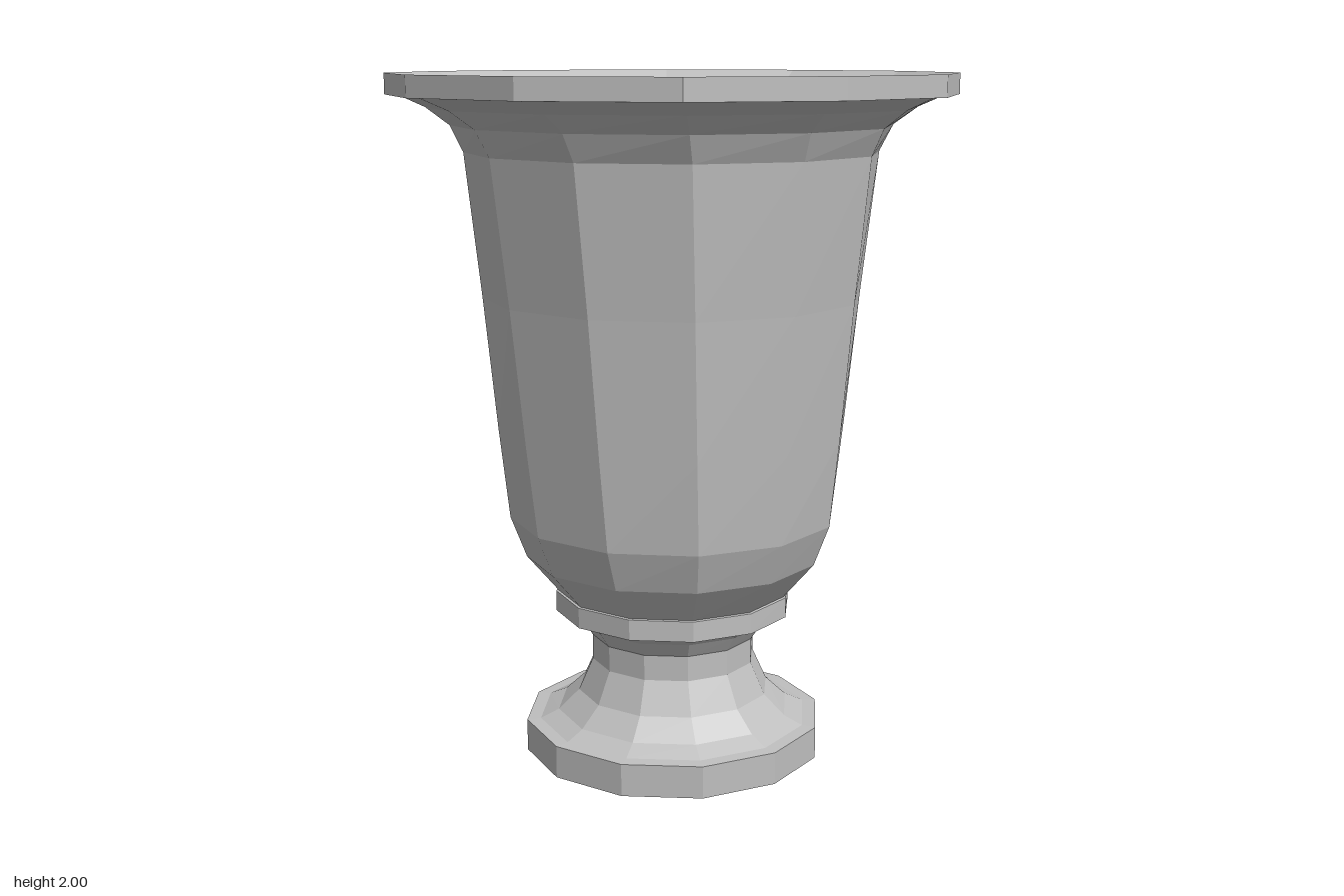
import * as THREE from 'three';

const SIDES = 12;
const stone = new THREE.MeshStandardMaterial({ color: 0xbfbfbf, flatShading: true });
stone.name = 'stone';

// Facets lofted through rings of [radius, height, turn in degrees]
function loft(name, rings) {
  const positions = [];
  const point = ([r, y, turn], j) => {
    const a = THREE.MathUtils.degToRad(turn + (j * 360) / SIDES);
    return [r * Math.sin(a), y, r * Math.cos(a)];
  };
  for (let i = 0; i < rings.length - 1; i++) {
    const low = rings[i], high = rings[i + 1];
    for (let j = 0; j < SIDES; j++) {
      const a = point(low, j), b = point(low, j + 1);
      const c = point(high, j + 1), d = point(high, j);
      if (low[0] > 0) positions.push(...a, ...b, ...c);
      if (high[0] > 0) positions.push(...a, ...c, ...d);
      // A ring of zero radius needs only one triangle per side
    }
  }
  const geometry = new THREE.BufferGeometry();
  geometry.setAttribute('position', new THREE.Float32BufferAttribute(positions, 3));
  geometry.computeVertexNormals();
  const mesh = new THREE.Mesh(geometry, stone);
  mesh.name = name;
  return mesh;
}

export function createModel() {
  const urn = new THREE.Group();
  urn.name = 'urn';

  // Plinth with a closed underside
  urn.add(loft('foot', [
    [0, 0, 19.6], [0.446, 0, 19.6], [0.446, 0.095, 19.6], [0.405, 0.097, 19.6],
  ]));

  // Waisted stem
  urn.add(loft('stem', [
    [0.405, 0.097, 19.6], [0.35, 0.122, 19.4], [0.288, 0.18, 19.2],
    [0.245, 0.275, 18.9], [0.245, 0.35, 18.6], [0.275, 0.395, 18.4], [0.32, 0.43, 18.3],
  ]));

  // Narrow band between stem and bowl
  urn.add(loft('collar', [
    [0.32, 0.43, 18.2], [0.352, 0.43, 18.2], [0.352, 0.49, 18], [0.345, 0.492, 18],
  ]));

  // Outer wall, turning slightly as it rises
  urn.add(loft('bowl', [
    [0.345, 0.492, 18], [0.437, 0.6, 17.5], [0.483, 0.72, 17], [0.512, 0.98, 16],
    [0.55, 1.37, 14.8], [0.595, 1.78, 13.5],
  ]));

  // Flared lip and upright rim
  urn.add(loft('rim', [
    [0.595, 1.78, 13.5], [0.632, 1.855, 12.5], [0.7, 1.905, 11.5], [0.775, 1.938, 10.6],
    [0.815, 1.94, 10.4], [0.815, 2, 10.4],
  ]));

  // Hollow and its flat floor
  urn.add(loft('inside', [
    [0.815, 2, 10.4], [0.685, 1.93, 10.4], [0.455, 1.68, 10.4],
    [0.378, 0.74, 10.4], [0.205, 0.56, 10.4], [0, 0.56, 10.4],
  ]));

  return urn;
}
